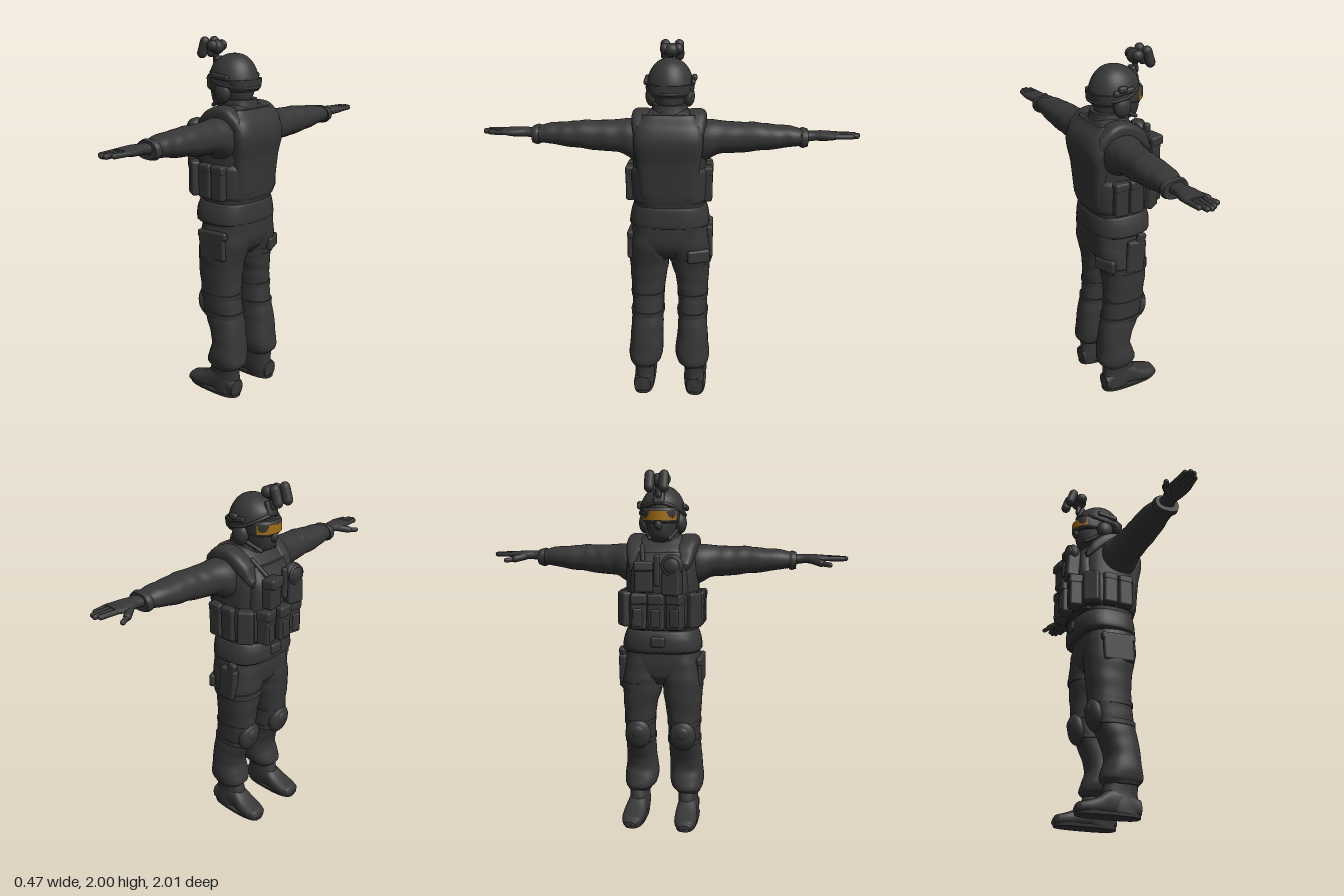
import * as THREE from 'three';
import { RoundedBoxGeometry } from 'three/addons/geometries/RoundedBoxGeometry.js';

export function createModel() {
  const root = new THREE.Group();
  root.name = 'armouredFigure';
  const cloth = new THREE.MeshStandardMaterial({ color: 0x363636 });
  cloth.name = 'darkCloth';
  const amber = new THREE.MeshStandardMaterial({ color: 0xa06c14, side: THREE.DoubleSide });
  amber.name = 'amberLens';
  const V = (x, y, z) => new THREE.Vector3(x, y, z);

  const add = (name, geo, mat = cloth) => {
    const m = new THREE.Mesh(geo, mat);
    m.name = name;
    root.add(m);
    return m;
  };

  // Smooth skin over sections [t, a0, a1, b0, b1]; map turns (t, a, b) into a point
  const maps = {
    y: (t, a, b) => [a, t, b], // a = x, b = z
    z: (t, a, b) => [a, b, t], // a = x, b = y
    x: (t, a, b) => [t, a, b], // a = y, b = z
  };
  function loft(name, axis, secs, { n = 2.4, side = 1, seg = 32, sub = 5, fold = 0 } = {}) {
    const pos = [], idx = [], rings = (secs.length - 1) * sub;
    const cr = (i, k, f) => {
      const g = (j) => secs[Math.min(secs.length - 1, Math.max(0, j))][k];
      const p0 = g(i - 1), p1 = g(i), p2 = g(i + 1), p3 = g(i + 2);
      return p1 + 0.5 * f * (p2 - p0 + f * (2 * p0 - 5 * p1 + 4 * p2 - p3 + f * (3 * (p1 - p2) + p3 - p0)));
    };
    const put = (t, a, b) => {
      const p = maps[axis](t, a, b);
      pos.push(p[0], p[1], p[2] * side);
    };
    const ringAt = (r) => {
      const i = Math.min(secs.length - 2, Math.floor(r / sub)), f = r / sub - i;
      const s0 = secs[i], s1 = secs[i + 1];
      const t = s0[0] + (s1[0] - s0[0]) * f;
      const [a0, a1, b0, b1] = [1, 2, 3, 4].map((k) => cr(i, k, f));
      for (let j = 0; j < seg; j++) {
        const th = (j / seg) * Math.PI * 2, c = Math.cos(th), s = Math.sin(th);
        const w = 1 + fold * Math.sin(t * 62 + 1.6 * Math.sin(th + t * 9)) * (0.6 + 0.4 * Math.cos(2 * th + t * 20));
        put(t, (a0 + a1) / 2 + ((a1 - a0) / 2) * w * Math.sign(c) * Math.abs(c) ** (2 / n),
          (b0 + b1) / 2 + ((b1 - b0) / 2) * w * Math.sign(s) * Math.abs(s) ** (2 / n));
      }
      return [t, (a0 + a1) / 2, (b0 + b1) / 2];
    };
    const flip = (axis === 'y' ? -1 : 1) * side * Math.sign(secs[secs.length - 1][0] - secs[0][0]);
    const tri = (a, b, c) => (flip > 0 ? idx.push(a, b, c) : idx.push(a, c, b));
    for (let r = 0; r <= rings; r++) ringAt(r);
    for (let r = 0; r < rings; r++) for (let j = 0; j < seg; j++) {
      const a = r * seg + j, b = r * seg + ((j + 1) % seg);
      tri(a, b, b + seg);
      tri(a, b + seg, a + seg);
    }
    // end caps with their own vertices for a crisp edge
    for (const end of [0, 1]) {
      const base = pos.length / 3, c = ringAt(end ? rings : 0);
      put(...c);
      for (let j = 0; j < seg; j++) {
        const p = base + j, q = base + ((j + 1) % seg);
        end ? tri(p, q, base + seg) : tri(q, p, base + seg);
      }
    }
    const g = new THREE.BufferGeometry();
    g.setAttribute('position', new THREE.Float32BufferAttribute(pos, 3));
    g.setIndex(idx);
    g.computeVertexNormals();
    return add(name, g);
  }

  const box = (name, w, h, d, x, y, z, ry = 0, rz = 0, r = 0.014) => {
    const m = add(name, new RoundedBoxGeometry(w, h, d, 3, Math.min(r, w / 2.1, h / 2.1, d / 2.1)));
    m.position.set(x, y, z);
    m.rotation.set(0, ry, rz);
  };
  const ball = (name, rx, ry, rz, x, y, z, tilt = 0) => {
    const m = add(name, new THREE.SphereGeometry(1, 24, 16).scale(rx, ry, rz));
    m.position.set(x, y, z);
    m.rotation.z = tilt;
  };
  const rod = (name, p, q, r) => {
    const m = add(name, new THREE.CapsuleGeometry(r, p.distanceTo(q), 6, 14));
    m.position.copy(p).add(q).multiplyScalar(0.5);
    m.quaternion.setFromUnitVectors(V(0, 1, 0), q.clone().sub(p).normalize());
  };

  // Torso, vest, belt and hips
  loft('torso', 'y', [[1.1, -0.12, 0.18, -0.19, 0.19], [1.2, -0.14, 0.195, -0.2, 0.2], [1.35, -0.15, 0.205, -0.2, 0.2],
    [1.5, -0.14, 0.215, -0.2, 0.2], [1.58, -0.1, 0.195, -0.185, 0.185], [1.63, -0.05, 0.16, -0.15, 0.15], [1.67, -0.02, 0.12, -0.08, 0.08]], { n: 2.8 });
  loft('backPlate', 'y', [[1.15, 0.08, 0.185, -0.14, 0.14], [1.2, 0.08, 0.202, -0.155, 0.155], [1.38, 0.08, 0.216, -0.17, 0.17],
    [1.5, 0.08, 0.235, -0.185, 0.185], [1.58, 0.07, 0.215, -0.175, 0.175], [1.64, 0.06, 0.165, -0.14, 0.14]], { n: 3.6 });
  loft('frontPlate', 'y', [[1.15, -0.15, 0, -0.15, 0.15], [1.35, -0.17, 0, -0.16, 0.16], [1.48, -0.165, 0, -0.15, 0.15],
    [1.57, -0.12, 0, -0.12, 0.12]], { n: 3.6 });
  loft('cummerbund', 'y', [[1.16, -0.16, 0.195, -0.2, 0.2], [1.18, -0.17, 0.2, -0.212, 0.212], [1.33, -0.17, 0.21, -0.215, 0.215],
    [1.355, -0.16, 0.2, -0.205, 0.205]], { n: 3 });
  loft('waistBand', 'y', [[1.015, -0.13, 0.18, -0.205, 0.205], [1.03, -0.15, 0.195, -0.222, 0.222], [1.09, -0.152, 0.195, -0.215, 0.215],
    [1.135, -0.14, 0.19, -0.2, 0.2], [1.15, -0.12, 0.175, -0.185, 0.185]], { n: 2.7 });
  loft('hips', 'y', [[0.83, -0.07, 0.13, -0.13, 0.13], [0.88, -0.1, 0.17, -0.2, 0.2], [0.95, -0.11, 0.19, -0.215, 0.215],
    [1.04, -0.11, 0.19, -0.205, 0.205]], { n: 2.6, fold: 0.008 });
  box('beltBuckle', 0.03, 0.06, 0.08, -0.15, 1.085, 0);

  // Front magazine pouches with flaps
  for (const z of [-0.1, 0, 0.1]) {
    const x = -0.185 + Math.abs(z) * 0.15, ry = -z * 2;
    box('magazinePouch', 0.075, 0.19, 0.085, x, 1.255, z, ry);
    box('pouchFlap', 0.085, 0.06, 0.09, x, 1.325, z, ry);
    box('magazineFront', 0.02, 0.1, 0.05, x - 0.035, 1.225, z, ry);
  }
  for (const s of [-1, 1]) {
    // Side pouches
    box('cornerPouch', 0.09, 0.19, 0.08, -0.1, 1.26, s * 0.18, s * -0.6);
    for (const x of [-0.005, 0.085]) {
      box('sidePouch', 0.082, 0.18, 0.05, x, 1.255, s * 0.21);
      box('sidePouchFlap', 0.086, 0.05, 0.055, x, 1.33, s * 0.21);
    }
    // Padded shoulder straps
    loft('shoulderPad', 'x', [[-0.125, 1.47, 1.51, 0.1, 0.16], [-0.09, 1.49, 1.585, 0.09, 0.18], [-0.03, 1.54, 1.635, 0.09, 0.195],
      [0.05, 1.57, 1.662, 0.09, 0.198], [0.12, 1.56, 1.65, 0.095, 0.198], [0.18, 1.52, 1.6, 0.1, 0.185], [0.205, 1.5, 1.55, 0.11, 0.17]], { side: s, n: 3 });
  }
  // Chest gear
  box('radioPouch', 0.075, 0.17, 0.1, -0.185, 1.43, 0.085, -0.15, -0.06);
  ball('roundPouch', 0.045, 0.062, 0.062, -0.187, 1.505, 0.085);
  const ring = add('roundPouchRim', new THREE.TorusGeometry(0.046, 0.009, 8, 28).rotateY(Math.PI / 2));
  ring.position.set(-0.213, 1.505, 0.085);
  box('chestPouch', 0.065, 0.14, 0.1, -0.18, 1.43, -0.07, 0.15);
  box('chestPouchFlap', 0.08, 0.055, 0.105, -0.188, 1.5, -0.07, 0.15, -0.1);
  box('chestTool', 0.035, 0.17, 0.035, -0.2, 1.48, 0.005);
  rod('cable', V(-0.15, 1.53, -0.08), V(-0.07, 1.6, -0.1), 0.012);

  for (const s of [-1, 1]) {
    // Sleeve
    loft('sleeve', 'z', [[0.12, -0.03, 0.17, 1.36, 1.61], [0.2, -0.045, 0.17, 1.39, 1.605], [0.27, -0.02, 0.165, 1.425, 1.6],
      [0.36, -0.008, 0.165, 1.432, 1.595], [0.46, 0, 0.168, 1.445, 1.595], [0.55, 0, 0.166, 1.455, 1.585], [0.64, 0.015, 0.158, 1.47, 1.58],
      [0.7, 0.03, 0.155, 1.478, 1.565], [0.72, 0.03, 0.155, 1.48, 1.562]], { side: s, n: 2.2, fold: 0.022, sub: 7 });
    loft('cuff', 'z', [[0.69, 0.022, 0.162, 1.472, 1.568], [0.705, 0.02, 0.165, 1.468, 1.572], [0.728, 0.025, 0.16, 1.475, 1.565]], { side: s });
    // Gloved hand
    loft('palm', 'z', [[0.7, 0.045, 0.135, 1.495, 1.555], [0.76, 0.05, 0.13, 1.505, 1.555], [0.8, 0.038, 0.14, 1.506, 1.556],
      [0.85, 0.032, 0.15, 1.51, 1.553], [0.895, 0.04, 0.148, 1.52, 1.55]], { side: s });
    [0.975, 0.99, 0.985, 0.955].forEach((end, i) =>
      rod('finger', V(0.052 + i * 0.029, 1.534, s * 0.87), V(0.062 + i * 0.022, 1.533, s * end), 0.0135));
    rod('thumbBase', V(0.055, 1.525, s * 0.81), V(0.015, 1.512, s * 0.86), 0.02);
    rod('thumb', V(0.015, 1.51, s * 0.86), V(-0.007, 1.505, s * 0.905), 0.0135);

    // Trouser leg; the second one is a little slimmer inside
    const k = s < 0 ? 0.015 : 0;
    loft('trouserLeg', 'y', [[0.165, -0.01, 0.165, 0.075, 0.215], [0.195, -0.038, 0.19, 0.05, 0.228], [0.25, -0.022, 0.19, 0.036, 0.232],
      [0.32, -0.005, 0.182, 0.035 + k / 2, 0.225], [0.4, -0.03, 0.175, 0.035 + k, 0.22], [0.5, -0.075, 0.155, 0.035 + k, 0.213],
      [0.6, -0.09, 0.142, 0.032 + k, 0.217], [0.7, -0.1, 0.142, 0.018 + k, 0.222], [0.8, -0.108, 0.152, 0.003, 0.228],
      [0.88, -0.11, 0.175, -0.01, 0.226], [1.03, -0.1, 0.185, -0.01, 0.2]], { side: s, fold: 0.016, sub: 7 });
    // Knee pad and straps
    ball('kneePad', 0.042, 0.09, 0.075, -0.068, 0.535, s * 0.128, 0.14);
    ball('kneeCap', 0.025, 0.045, 0.045, -0.092, 0.55, s * 0.128, 0.14);
    for (const [y, x0, x1] of [[0.49, -0.075, 0.161], [0.6, -0.094, 0.148]])
      loft('kneeStrap', 'y', [[y - 0.013, x0, x1, 0.03 + k, 0.22], [y + 0.013, x0, x1, 0.028 + k, 0.221]], { side: s, sub: 1 });
    // Boot
    loft('bootShaft', 'y', [[0.01, 0, 0.168, 0.095, 0.205], [0.06, -0.02, 0.168, 0.088, 0.205], [0.12, -0.03, 0.162, 0.088, 0.2],
      [0.2, -0.005, 0.165, 0.09, 0.205]], { side: s });
    loft('bootFoot', 'x', [[-0.178, 0.012, 0.04, 0.125, 0.185], [-0.165, 0.006, 0.062, 0.105, 0.202], [-0.12, 0.004, 0.075, 0.09, 0.215],
      [-0.06, 0.004, 0.1, 0.086, 0.215], [0, 0.004, 0.14, 0.09, 0.205], [0.07, 0.004, 0.15, 0.095, 0.202], [0.165, 0.006, 0.1, 0.105, 0.2]], { side: s, n: 2.6 });
    loft('bootSole', 'y', [[0, -0.175, 0.172, 0.092, 0.212], [0.018, -0.18, 0.173, 0.088, 0.215]], { side: s, n: 2.8, sub: 1 });
  }
  // Thigh gear
  box('thighPocket', 0.18, 0.15, 0.03, 0.04, 0.9, 0.216, 0, 0.05);
  box('thighPocketFlap', 0.2, 0.045, 0.034, 0.04, 0.965, 0.214, 0, 0.05);
  box('holster', 0.11, 0.19, 0.045, 0, 0.9, -0.218, 0, 0.1);
  box('holsterGrip', 0.05, 0.09, 0.035, -0.03, 0.99, -0.222, 0, 0.3);
  box('rearThighPocket', 0.035, 0.075, 0.13, 0.155, 0.86, -0.165, 0.4);
  loft('thighStrap', 'y', [[0.8, -0.113, 0.158, 0, 0.235], [0.835, -0.114, 0.166, 0, 0.236]], { side: -1, sub: 1 });

  // Neck, hood and masked face
  loft('collar', 'y', [[1.56, -0.06, 0.17, -0.13, 0.13], [1.63, -0.06, 0.15, -0.105, 0.105], [1.685, -0.055, 0.138, -0.092, 0.092]]);
  loft('maskedFace', 'y', [[1.625, -0.07, 0.1, -0.055, 0.055], [1.645, -0.115, 0.11, -0.068, 0.068], [1.69, -0.13, 0.12, -0.08, 0.08],
    [1.74, -0.128, 0.125, -0.09, 0.09], [1.82, -0.115, 0.125, -0.09, 0.09]], { n: 2.2 });
  ball('nose', 0.025, 0.03, 0.022, -0.125, 1.715, 0);

  // Goggles: frame and thin wrapped lens
  loft('goggleFrame', 'y', [[1.722, -0.132, 0.06, -0.085, 0.085], [1.735, -0.142, 0.07, -0.096, 0.096], [1.79, -0.146, 0.07, -0.098, 0.098],
    [1.805, -0.138, 0.06, -0.092, 0.092]], { n: 2.5 });
  const lens = add('goggleLens', new THREE.CylinderGeometry(1, 1, 0.048, 32, 1, true, Math.PI * 1.16, Math.PI * 0.68).scale(0.114, 1, 0.104), amber);
  lens.position.set(-0.037, 1.763, 0);

  // Helmet dome with a rim that drops towards the back
  const dome = new THREE.SphereGeometry(1, 40, 18, 0, Math.PI * 2, 0, Math.PI / 2);
  const dp = dome.attributes.position;
  for (let i = 0; i < dp.count; i++) {
    const x = dp.getX(i), y = dp.getY(i), z = dp.getZ(i);
    const rim = 1.765 - 0.022 * x + 0.04 * Math.max(0, -x) ** 2;
    const f = Math.sqrt(x * x + z * z), w = f > 0 ? f ** 0.9 / f : 1;
    dp.setXYZ(i, 0.016 + x * w * 0.137, rim + (1.92 - rim) * y, z * w * 0.125);
  }
  dome.computeVertexNormals();
  add('helmet', dome).material = cloth;
  const rimPts = [];
  for (let i = 0; i < 32; i++) {
    const a = (i / 32) * Math.PI * 2, x = Math.cos(a);
    rimPts.push(V(0.016 + x * 0.134, 1.767 - 0.022 * x + 0.04 * Math.max(0, -x) ** 2, Math.sin(a) * 0.122));
  }
  add('helmetRim', new THREE.TubeGeometry(new THREE.CatmullRomCurve3(rimPts, true), 64, 0.009, 8, true));
  loft('helmetNape', 'y', [[1.725, 0.03, 0.138, -0.09, 0.09], [1.745, 0, 0.15, -0.108, 0.108], [1.79, 0, 0.152, -0.115, 0.115]]);
  for (const s of [-1, 1]) {
    box('helmetRail', 0.12, 0.03, 0.022, 0.02, 1.805, s * 0.125, 0, -0.12);
    ball('earCup', 0.05, 0.057, 0.034, 0.015, 1.72, s * 0.098);
    rod('chinStrap', V(0.0, 1.69, s * 0.088), V(-0.09, 1.642, s * 0.055), 0.011);
  }
  box('railLamp', 0.05, 0.035, 0.03, 0.03, 1.82, -0.13);

  // Raised twin-tube viewer on the helmet
  box('viewerMount', 0.03, 0.08, 0.06, -0.105, 1.86, 0, 0, -0.35);
  rod('viewerArm', V(-0.12, 1.87, 0), V(-0.112, 1.945, 0), 0.016);
  ball('viewerHinge', 0.04, 0.038, 0.045, -0.112, 1.945, 0);
  for (const s of [-1, 1]) {
    rod('viewerTube', V(-0.186, 1.91, s * 0.038), V(-0.165, 1.972, s * 0.038), 0.027);
    rod('viewerBridge', V(-0.115, 1.95, s * 0.02), V(-0.17, 1.945, s * 0.036), 0.015);
    ball('viewerEyepiece', 0.032, 0.03, 0.026, -0.112, 1.953, s * 0.038);
  }
  return root;
}
